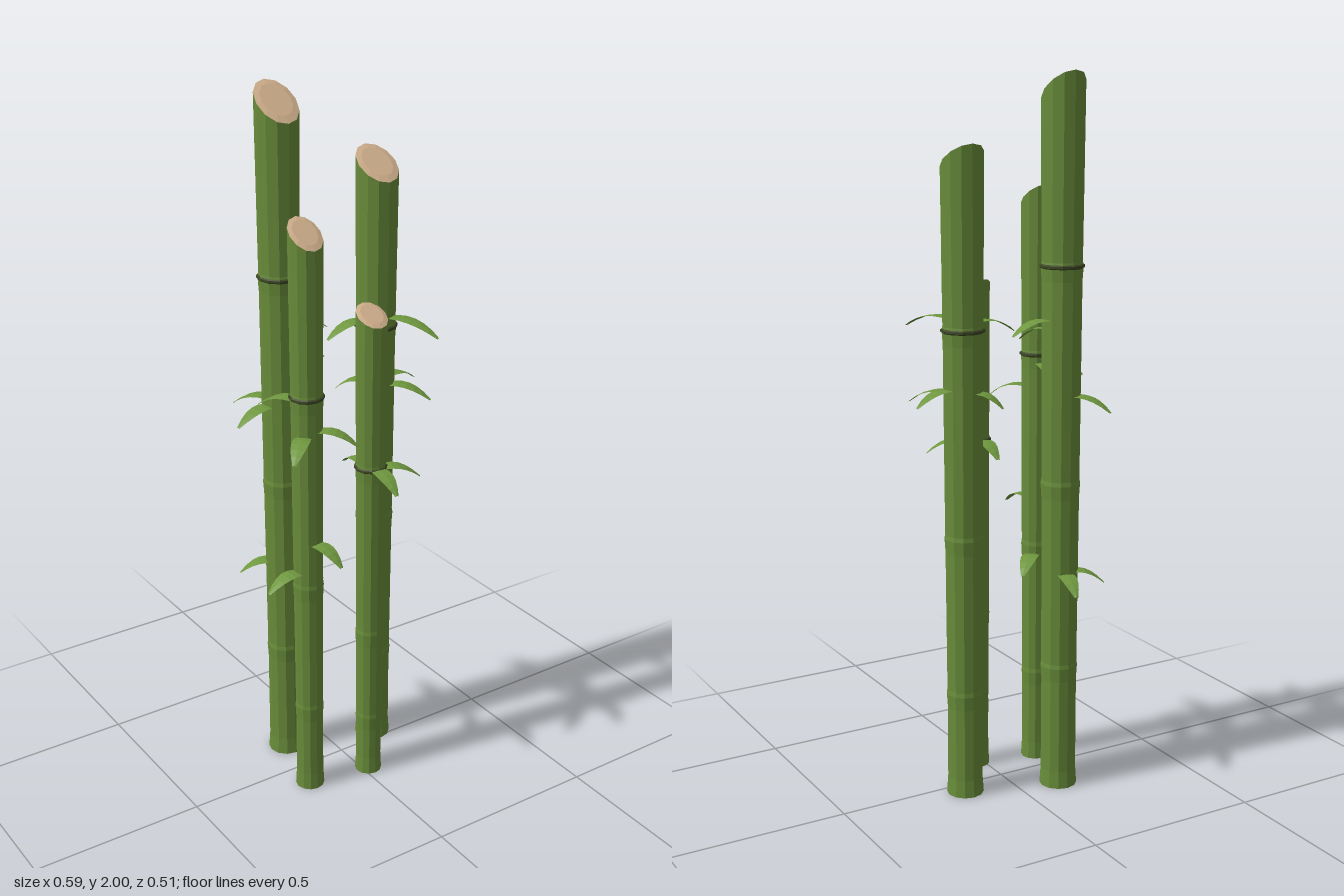
import * as THREE from 'three';

const mat = (name, color, opts = {}) => Object.assign(new THREE.MeshStandardMaterial({ color, ...opts }), { name });

// x, z, radius, height at the cut's centre, cut slope, nodes (last one wears the dark ring),
// leaves as [tipX, tipZ, height]
const STALKS = [
  { x: -0.12, z: -0.12, r: 0.059, top: 1.953, slope: 0.8, nodes: [0.36, 0.89, 1.49],
    leaves: [[0.04, -0.13, 1.35], [-0.055, -0.005, 1.32], [-0.27, -0.1, 1.13],
      [-0.2, -0.245, 1.14], [-0.09, -0.255, 0.64], [-0.23, -0.18, 0.64]] },
  { x: 0.14, z: -0.04, r: 0.058, top: 1.775, slope: 0.7, nodes: [0.3, 0.75, 1.325],
    leaves: [[-0.02, -0.04, 1.35], [0.22, 0.14, 1.36], [0.29, -0.06, 1.17],
      [0.24, 0.085, 1.16], [0.07, -0.135, 1.16]] },
  { x: -0.163, z: 0.078, r: 0.046, top: 1.66, slope: 0.76, nodes: [0.27, 0.66, 1.22],
    leaves: [[-0.295, 0.085, 0.71], [-0.06, -0.02, 0.64], [-0.265, 0.175, 1.12], [-0.14, 0.21, 0.8],
      [-0.07, 0.185, 1.13], [-0.235, -0.05, 1.21], [-0.13, -0.07, 1.2]] },
  { x: 0.02, z: 0.112, r: 0.043, top: 1.418, slope: 0.55, nodes: [0.19, 0.47, 0.985],
    leaves: [[0.02, -0.02, 0.99], [0.145, 0.17, 0.985], [0.01, 0.25, 0.99]] },
];

const lathe = pts => new THREE.LatheGeometry(pts.map(p => new THREE.Vector2(...p)), 12);

// Tilt every vertex above a height so the end is cut at a slant
function slant(geo, slope, above) {
  const p = geo.attributes.position;
  for (let i = 0; i < p.count; i++) if (p.getY(i) > above) p.setY(i, p.getY(i) - p.getZ(i) * slope);
  return geo;
}

// Flared foot, then segments that narrow a little after each node
function stalkGeometry({ r, top, slope, nodes }) {
  const pts = [[0, 0], [r * 0.9, 0], [r * 0.84, 0.05]];
  nodes.forEach((y, i) => {
    const w = r * (0.86 + 0.05 * i);
    pts.push([w * 0.97, y - 0.04], [w * 1.02, y], [w * 0.98, y + 0.012]);
  });
  pts.push([r, top]);
  return slant(lathe(pts), slope, top - 0.001);
}

// Bevelled rim around a flat pith
const cutGeometry = ({ r, top, slope }) =>
  slant(lathe([[r, top], [r * 0.73, top + 0.004], [0, top + 0.004]]), slope, 0);

// Pointed blade that rises from the stalk and droops at the tip
function leafGeometry(dx, dz) {
  const length = Math.hypot(dx, dz);
  const geo = new THREE.PlaneGeometry(1, 1, 2, 7).rotateX(-Math.PI / 2);
  const p = geo.attributes.position;
  for (let i = 0; i < p.count; i++) {
    const t = p.getZ(i) + 0.5, side = p.getX(i) * 2;
    const half = 0.024 * Math.pow(Math.sin(Math.PI * (0.1 + 0.85 * t)), 0.85);
    p.setXYZ(i, side * half, 0.09 * t - 0.11 * t * t - 0.018 - Math.abs(side) * 0.002, t * length);
  }
  geo.rotateY(Math.atan2(dx, dz));
  geo.computeVertexNormals();
  return geo;
}

export function createModel() {
  const green = mat('stalk green', 0x688c3a, { flatShading: true });
  const leafGreen = mat('leaf green', 0x6f973f, { flatShading: true, side: THREE.DoubleSide });
  const dark = mat('node dark green', 0x3c4723, { flatShading: true });
  const tan = mat('cut wood', 0xd0b08c, { flatShading: true });

  const model = new THREE.Group();
  model.name = 'bambooCluster';

  for (const s of STALKS) {
    const group = new THREE.Group();
    group.name = 'bambooStalk';
    group.position.set(s.x, 0, s.z);
    const add = (name, geo, material, y = 0) => {
      const mesh = new THREE.Mesh(geo, material);
      mesh.name = name;
      mesh.position.y = y;
      group.add(mesh);
    };

    add('stalk', stalkGeometry(s), green);
    add('slantedCut', cutGeometry(s), tan);

    // Thin dark band on the topmost node
    const w = s.r * 0.97;
    add('nodeRing', lathe([[w, -0.006], [w + 0.004, -0.003], [w + 0.004, 0.003], [w, 0.006]]), dark, s.nodes[2]);

    for (const [x, z, y] of s.leaves) add('leaf', leafGeometry(x - s.x, z - s.z), leafGreen, y);
    model.add(group);
  }
  return model;
}
